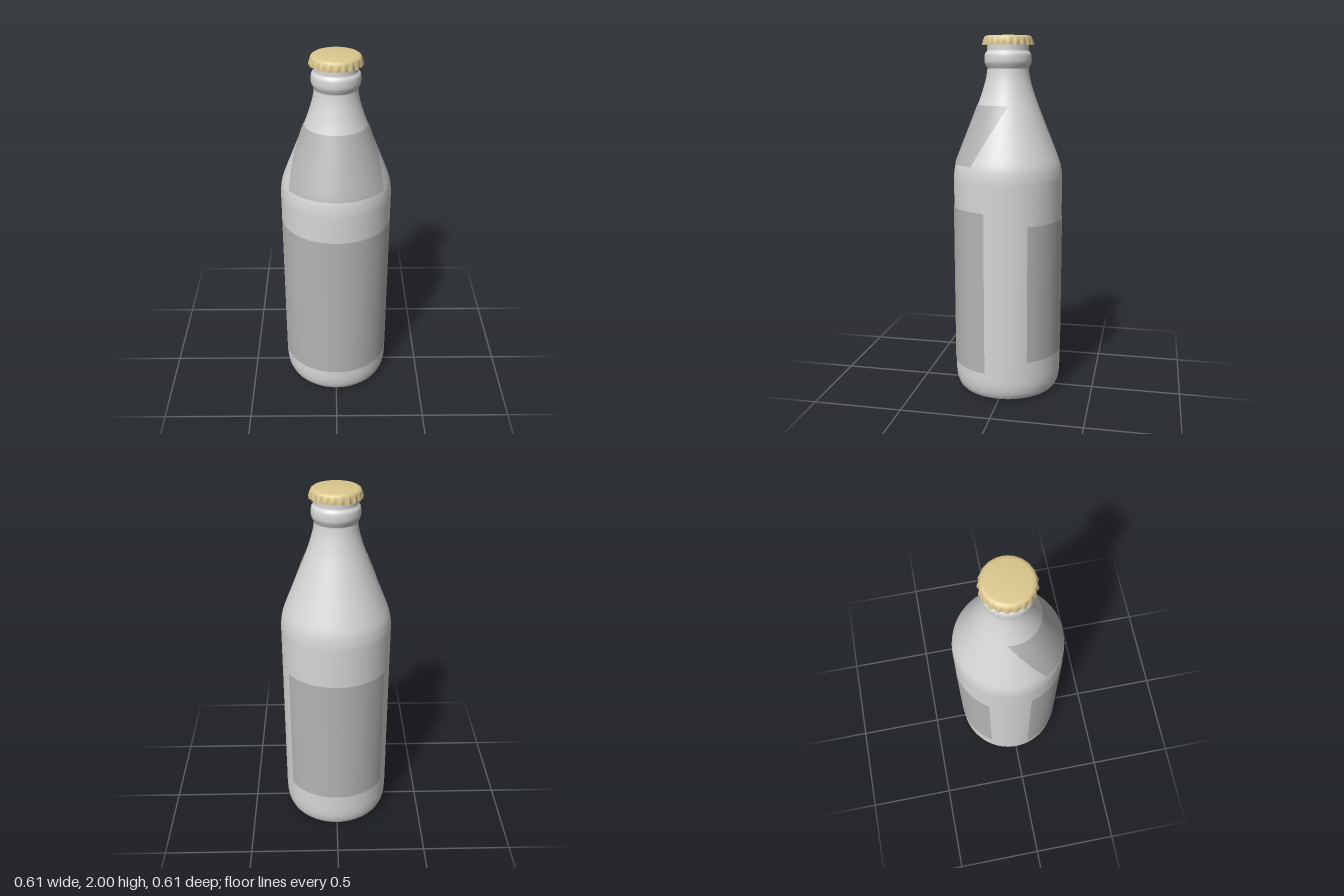
import * as THREE from 'three';
import { toCreasedNormals } from 'three/addons/utils/BufferGeometryUtils.js';

const glass = new THREE.MeshStandardMaterial({ color: 0xd6d6d6 });
glass.name = 'glass';
const paper = new THREE.MeshStandardMaterial({ color: 0xb4b4b4, side: THREE.DoubleSide });
paper.name = 'label paper';
const gold = new THREE.MeshStandardMaterial({ color: 0xdcc88e, side: THREE.DoubleSide });
gold.name = 'cap metal';

const v2 = ([r, y]) => new THREE.Vector2(r, y);

// Bottle outline from foot to mouth: a rounded foot, straight wall, then a smooth shoulder and neck
const foot = [[0.262, 0], [0.274, 0.006], [0.285, 0.018], [0.296, 0.045], [0.302, 0.08], [0.304, 0.12]].map(v2);
const shoulder = new THREE.SplineCurve([
  [0.304, 1.22], [0.302, 1.255], [0.292, 1.31], [0.262, 1.39], [0.214, 1.51], [0.167, 1.63],
  [0.142, 1.7], [0.122, 1.77], [0.113, 1.825],
].map(v2)).getPoints(48);
const finish = new THREE.SplineCurve([
  [0.113, 1.825], [0.122, 1.842], [0.128, 1.858], [0.129, 1.88], [0.126, 1.902], [0.117, 1.915],
  [0.114, 1.925], [0.114, 1.97],
].map(v2)).getPoints(32);
const outline = [...foot, ...shoulder, ...finish.slice(1)];

// Radius of the bottle at a given height
function radiusAt(y) {
  const i = Math.max(1, outline.findIndex((p) => p.y >= y));
  const a = outline[i - 1], b = outline[i];
  return a.x + (b.x - a.x) * (y - a.y) / (b.y - a.y);
}

// Label that follows the bottle surface; halfAngle(y) gives its half width as an angle
function label(name, y0, y1, centre, halfAngle, rows) {
  const geo = new THREE.PlaneGeometry(2, 1, 48, rows);
  const pos = geo.attributes.position;
  for (let i = 0; i < pos.count; i++) {
    const y = y0 + (y1 - y0) * (pos.getY(i) + 0.5);
    const angle = centre + pos.getX(i) * halfAngle(y);
    const r = radiusAt(y) + 0.003;
    pos.setXYZ(i, r * Math.sin(angle), y, r * Math.cos(angle));
  }
  geo.computeVertexNormals();
  const mesh = new THREE.Mesh(geo, paper);
  mesh.name = name;
  return mesh;
}

// Crown cap: a lathe whose skirt is pushed in and out into flutes
function crownCap() {
  const flutes = 21;
  const profile = [
    [0, 1.96], [0.122, 1.96], [0.131, 1.951], [0.136, 1.95], [0.136, 1.958], [0.134, 1.97],
    [0.132, 1.983], [0.128, 1.992], [0.12, 1.998], [0.108, 2], [0, 2],
  ].map(v2);
  const geo = new THREE.LatheGeometry(profile, flutes * 8);
  const pos = geo.attributes.position;
  for (let i = 0; i < pos.count; i++) {
    const x = pos.getX(i), y = pos.getY(i), z = pos.getZ(i);
    const r = Math.hypot(x, z);
    if (r < 0.125) continue;
    const depth = 0.005 * THREE.MathUtils.clamp((1.99 - y) / 0.03, 0, 1);
    const k = 1 + depth * Math.cos(flutes * Math.atan2(x, z)) / r;
    pos.setXYZ(i, x * k, y, z * k);
  }
  const mesh = new THREE.Mesh(toCreasedNormals(geo, 0.7), gold);
  mesh.name = 'crownCap';
  return mesh;
}

export function createModel() {
  const group = new THREE.Group();
  group.name = 'bottle';

  const body = new THREE.Mesh(new THREE.LatheGeometry(outline, 96), glass);
  body.name = 'bottleBody';

  const base = new THREE.Mesh(new THREE.CircleGeometry(0.262, 96), glass);
  base.name = 'bottleBase';
  base.rotation.x = Math.PI / 2;

  // The neck label narrows downwards: its side edges run straight when seen from the side
  const neckAngle = (y) => {
    const z = THREE.MathUtils.mapLinear(y, 1.31, 1.63, 0.155, -0.034);
    return Math.acos(z / (radiusAt(y) + 0.003));
  };

  group.add(
    body,
    base,
    label('frontLabel', 0.16, 1.07, 0, () => 1.325, 1),
    label('backLabel', 0.23, 1.0, Math.PI, () => 1.03, 1),
    label('neckLabel', 1.31, 1.63, 0, neckAngle, 24),
    crownCap(),
  );
  return group;
}
